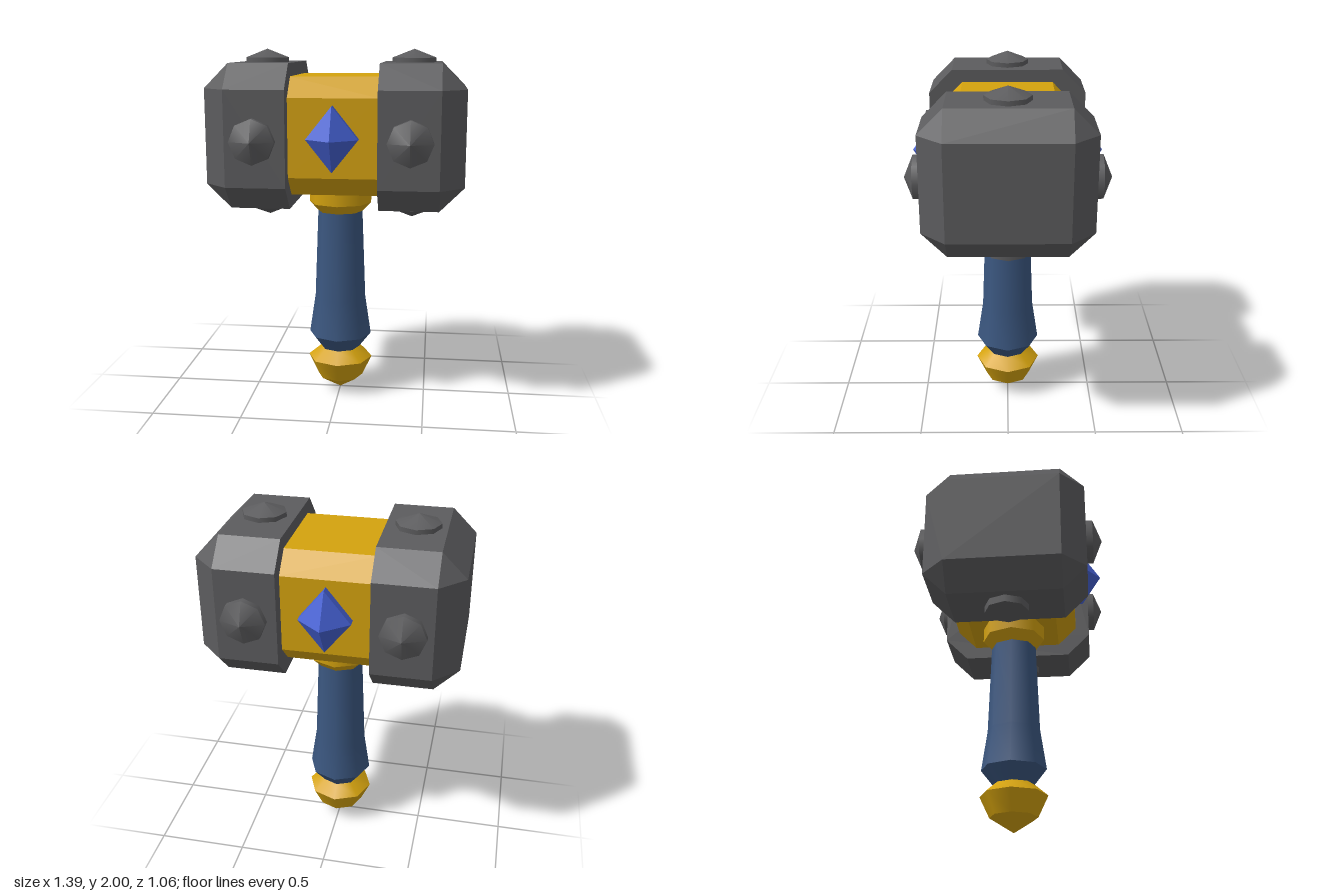
import * as THREE from 'three';
import { mergeGeometries } from 'three/addons/utils/BufferGeometryUtils.js';
import { ConvexGeometry } from 'three/addons/geometries/ConvexGeometry.js';

const HEAD_Y = 1.54;

function makeMaterial(name, color) {
  const m = new THREE.MeshStandardMaterial({ color });
  m.name = name;
  return m;
}

// Eight-sided turned shape; each profile is smooth, with sharp edges between profiles
function turned(profiles) {
  return mergeGeometries(profiles.map((points) =>
    new THREE.LatheGeometry(points.map(([r, y]) => new THREE.Vector2(r, y)), 8)));
}

// Corners of a rectangle with cut corners, in the plane at x
function cutRect(x, halfY, halfZ, cut) {
  const points = [];
  for (const sy of [-1, 1]) for (const sz of [-1, 1]) {
    points.push(new THREE.Vector3(x, sy * halfY, sz * (halfZ - cut)));
    if (cut > 0) points.push(new THREE.Vector3(x, sy * (halfY - cut), sz * halfZ));
  }
  return points;
}

export function createModel() {
  const model = new THREE.Group();
  model.name = 'warHammer';
  const steel = makeMaterial('darkSteel', 0x5c5c5e);
  const gold = makeMaterial('gold', 0xd4a20e);
  const grip = makeMaterial('blueGrip', 0x3b5780);
  const crystal = makeMaterial('blueCrystal', 0x4560d2);

  const add = (parent, name, geometry, material) => {
    const mesh = new THREE.Mesh(geometry, material);
    mesh.name = name;
    parent.add(mesh);
    return mesh;
  };

  // Pommel, grip and collar, from the ground up
  add(model, 'pommel', turned([
    [[0, 0.005], [0.132, 0.088]],
    [[0.132, 0.088], [0.187, 0.205]],
    [[0.187, 0.205], [0.113, 0.267]],
  ]), gold);
  add(model, 'grip', turned([
    [[0.113, 0.265], [0.181, 0.352]],
    [[0.181, 0.352], [0.147, 0.58], [0.128, 1.09]],
  ]), grip);
  add(model, 'collar', turned([
    [[0.12, 1.08], [0.178, 1.14]],
    [[0.178, 1.14], [0.178, 1.24]],
  ]), gold);

  const head = new THREE.Group();
  head.name = 'head';
  head.position.y = HEAD_Y;
  model.add(head);

  // Gold core between the two blocks
  add(head, 'core', new ConvexGeometry(
    [-0.25, 0.25].flatMap((x) => cutRect(x, 0.318, 0.362, 0.107))), gold);

  // Round studs: short barrel with a low pointed cap
  const studGeometry = turned([
    [[0.121, -0.02], [0.121, 0.036]],
    [[0.121, 0.036], [0, 0.086]],
  ]);
  const topStudGeometry = turned([
    [[0.121, -0.02], [0.121, 0.024]],
    [[0.121, 0.024], [0, 0.071]],
  ]);

  for (const [side, s] of [['left', 1], ['right', -1]]) {
    // Bevelled striking block
    add(head, side + 'Block', new ConvexGeometry([
      ...cutRect(s * 0.24, 0.388, 0.443, 0.132),
      ...cutRect(s * 0.563, 0.388, 0.443, 0.132),
      ...cutRect(s * 0.695, 0.256, 0.311, 0),
    ]), steel);

    const x = s * 0.41;
    const top = add(head, side + 'TopStud', topStudGeometry, steel);
    top.position.set(x, 0.389, 0);
    const bottom = add(head, side + 'BottomStud', studGeometry, steel);
    bottom.position.set(x, -0.392, 0);
    bottom.rotation.x = Math.PI;
    for (const [face, f] of [['Front', 1], ['Back', -1]]) {
      const stud = add(head, side + face + 'Stud', studGeometry, steel);
      stud.position.set(x, -0.01, f * 0.443);
      stud.rotation.x = f * Math.PI / 2;
    }
  }

  // Diamond crystals on the front and back of the core
  const gem = mergeGeometries([
    new THREE.CylinderGeometry(1, 1, 0.07, 4, 1, true).translate(0, 0.035, 0),
    new THREE.ConeGeometry(1, 0.112, 4, 1, true).translate(0, 0.126, 0),
  ]).scale(0.139, 1, 0.174).toNonIndexed();
  gem.computeVertexNormals();
  for (const [face, f] of [['front', 1], ['back', -1]]) {
    const mesh = add(head, face + 'Crystal', gem, crystal);
    mesh.position.z = f * 0.34;
    mesh.rotation.x = f * Math.PI / 2;
  }

  return model;
}
